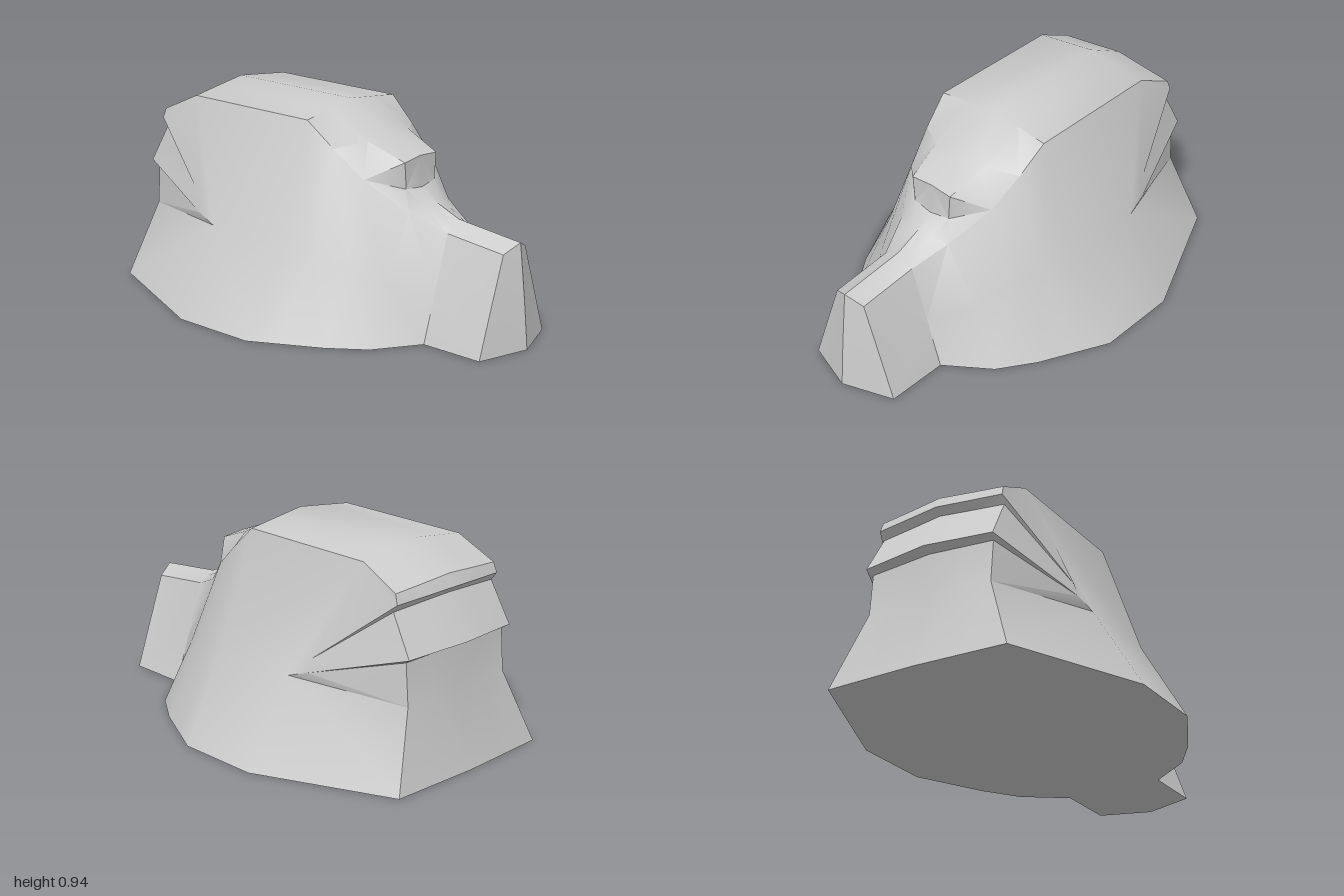
import * as THREE from 'three';
import { toCreasedNormals } from 'three/addons/utils/BufferGeometryUtils.js';

// Emit a grid of half-model points as triangles on both sides of x = 0
function addGrid(out, grid) {
  const tri = (p, q, r) => {
    const [a, b, c] = [p, q, r].map(v => new THREE.Vector3(...v));
    if (b.clone().sub(a).cross(c.clone().sub(a)).length() < 1e-6) return;
    out.push(...p, ...q, ...r);
    for (const v of [p, r, q]) out.push(-v[0], v[1], v[2]);
  };
  for (let i = 0; i + 1 < grid.length; i++) {
    for (let j = 0; j + 1 < grid[i].length; j++) {
      const a = grid[i][j], b = grid[i][j + 1], c = grid[i + 1][j + 1], d = grid[i + 1][j];
      tri(a, d, c);
      tri(a, c, b);
    }
  }
}

export function createModel() {
  const positions = [];

  // Snout, brow and dome: half sections from front to back,
  // each running base, flank, shoulder, crown, ridge
  const sections = [
    [[0, 0, 1], [0, 0.21, 0.98], [0, 0.43, 0.955], [0, 0.45, 0.952], [0, 0.47, 0.95]],
    [[0.235, 0, 0.92], [0.16, 0.21, 0.92], [0.08, 0.43, 0.92], [0.04, 0.45, 0.935], [0, 0.47, 0.95]],
    [[0.235, 0, 0.63], [0.16, 0.22, 0.63], [0.08, 0.46, 0.63], [0.04, 0.485, 0.63], [0, 0.505, 0.63]],
    [[0.43, 0, 0.49], [0.29, 0.26, 0.46], [0.14, 0.53, 0.47], [0.06, 0.55, 0.49], [0, 0.56, 0.5]],
    [[0.54, 0, 0.33], [0.37, 0.33, 0.32], [0.24, 0.67, 0.3], [0.1, 0.62, 0.42], [0, 0.61, 0.43]],
    [[0.54, 0, 0.33], [0.37, 0.33, 0.32], [0.24, 0.67, 0.3], [0.11, 0.74, 0.42], [0, 0.75, 0.42]],
    [[0.63, 0, 0.15], [0.43, 0.36, 0.18], [0.275, 0.79, 0.16], [0.14, 0.81, 0.24], [0, 0.82, 0.25]],
    [[0.695, 0, 0.02], [0.47, 0.38, 0.05], [0.295, 0.9, 0.03], [0.15, 0.92, 0.03], [0, 0.94, 0.03]],
    [[0.695, 0, -0.37], [0.47, 0.38, -0.38], [0.295, 0.9, -0.64], [0.15, 0.92, -0.64], [0, 0.94, -0.64]],
  ];
  // Close the underside along the centre line
  addGrid(positions, sections.map(s => [[0, 0, s[0][2]], ...s]));

  // Rear: rows from roof down to base, each running side, notch tip, corner, centre
  const shoulder = [0.295, 0.9, -0.64], crown = [0.15, 0.92, -0.64], ridge = [0, 0.94, -0.64];
  const flank = [0.47, 0.38, -0.38], base = [0.695, 0, -0.37];
  const upperTip = [0.44, 0.47, -0.48], lowerTip = [0.455, 0.415, -0.48];
  const rear = [
    [shoulder, shoulder, shoulder, crown, ridge],
    [shoulder, shoulder, [0.305, 0.81, -0.83], [0.15, 0.822, -0.84], [0, 0.835, -0.85]],
    [shoulder, upperTip, [0.31, 0.765, -0.845], [0.155, 0.772, -0.86], [0, 0.78, -0.875]],
    [shoulder, upperTip, [0.305, 0.73, -0.82], [0.15, 0.74, -0.832], [0, 0.75, -0.845]],
    [flank, lowerTip, [0.315, 0.55, -0.92], [0.157, 0.555, -0.937], [0, 0.56, -0.955]],
    [flank, lowerTip, [0.3, 0.53, -0.89], [0.15, 0.535, -0.9], [0, 0.54, -0.91]],
    [flank, flank, [0.3, 0.34, -0.905], [0.15, 0.34, -0.912], [0, 0.34, -0.92]],
    [base, base, [0.43, 0, -0.985], [0.215, 0, -0.9925], [0, 0, -1]],
    [[0, 0, -0.37], [0, 0, -0.37], [0, 0, -1], [0, 0, -1], [0, 0, -1]],
  ];
  addGrid(positions, rear);

  const geometry = new THREE.BufferGeometry();
  geometry.setAttribute('position', new THREE.Float32BufferAttribute(positions, 3));
  const shell = new THREE.Mesh(
    toCreasedNormals(geometry, 0.62),
    new THREE.MeshStandardMaterial({ color: 0xcccccc })
  );
  shell.name = 'headShell';

  const group = new THREE.Group();
  group.name = 'head';
  group.add(shell);
  return group;
}
